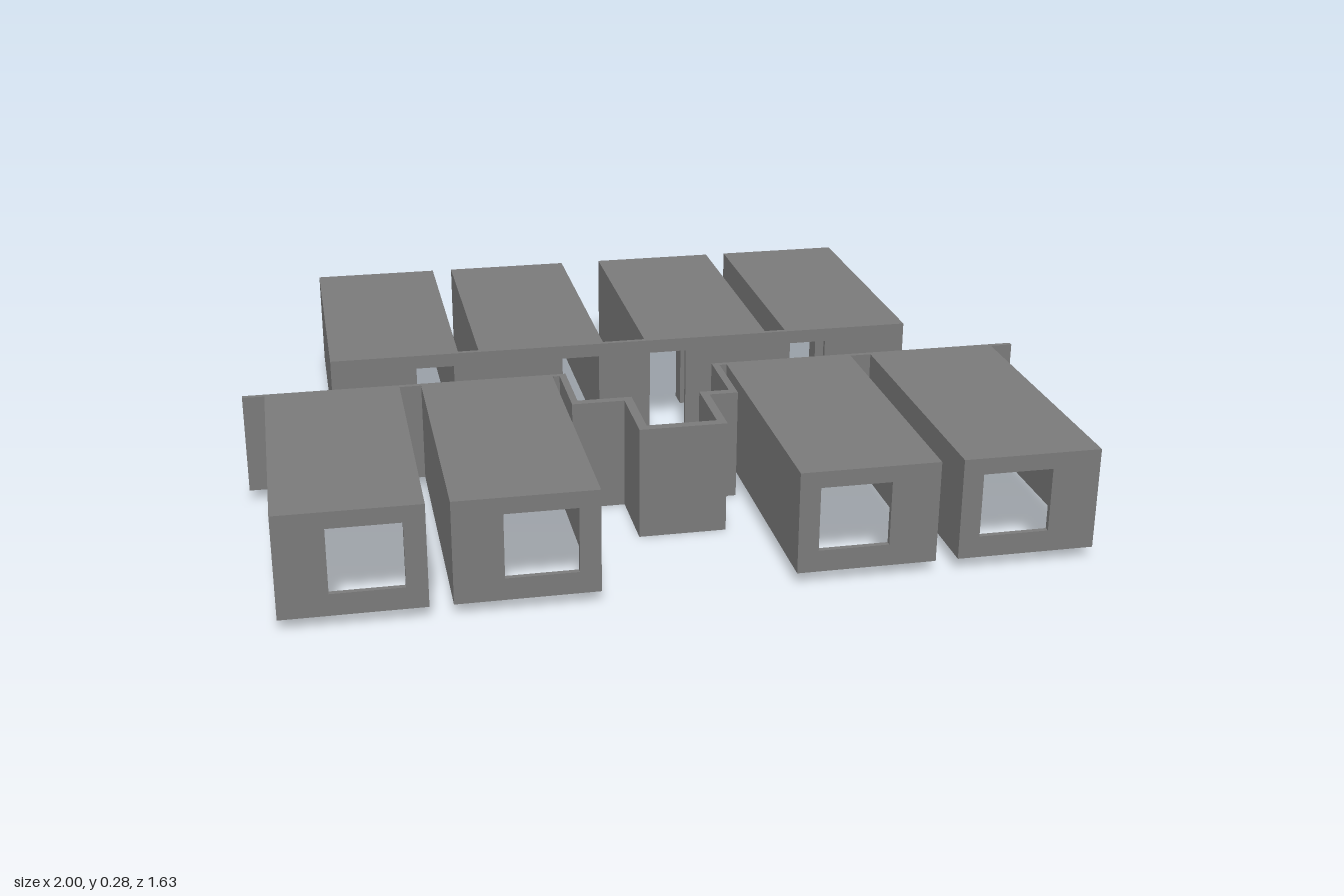
import * as THREE from 'three';

const MAT = new THREE.MeshStandardMaterial({ color: 0x7a7a7a });
const FLOOR = 0.03, TOP = 0.28, T = 0.013;   // wall base, roof height, wall thickness
const INNER = 0.1, OUTER = 0.813;            // corridor side and window end of a room
const HALF = 0.166;                          // half the width of a room

function add(group, name, geometry) {
  const mesh = new THREE.Mesh(geometry, MAT);
  mesh.name = name;
  group.add(mesh);
}

function shapeOf(points) {
  return new THREE.Shape(points.map(([x, y]) => new THREE.Vector2(x, y)));
}

function extrude(shape, depth) {
  return new THREE.ExtrudeGeometry(shape, { depth, bevelEnabled: false });
}

// Upright wall along x, centred on z = 0, with door notches listed from low x to high x
function doorWall(x0, x1, top, doors) {
  const points = [[x0, FLOOR]];
  for (const [a, b] of doors) {
    points.push([a, FLOOR], [a, 0.245], [b, 0.245], [b, FLOOR]);
  }
  points.push([x1, FLOOR], [x1, top], [x0, top]);
  return extrude(shapeOf(points), T).translate(0, 0, -T / 2);
}

const span = (a, b) => [Math.min(a, b), Math.max(a, b)];

// The entry door lies on the side given by s, next to the side wall
const doorSpan = ([cx, s]) => span(cx + s * 0.055, cx + s * (HALF - T));

// One room, open below: cx is its centre, s its door side, r its row (+1 front, -1 back)
function room(cx, s, r) {
  const g = new THREE.Group();
  g.name = 'room';

  // Roof and side walls in one portal profile
  const w = HALF - T, z0 = INNER + T;
  const portal = shapeOf([
    [-HALF, FLOOR], [-w, FLOOR], [-w, TOP - T], [w, TOP - T],
    [w, FLOOR], [HALF, FLOOR], [HALF, TOP], [-HALF, TOP],
  ]);
  add(g, 'roofAndSideWalls', extrude(portal, OUTER - z0)
    .translate(cx, 0, r > 0 ? z0 : -OUTER));

  // End wall with its window set away from the door side
  const end = shapeOf([[-w, FLOOR], [w, FLOOR], [w, TOP - T], [-w, TOP - T]]);
  const wx = -s * 0.033, hw = 0.084;
  end.holes.push(new THREE.Path([
    [wx - hw, 0.083], [wx - hw, 0.24], [wx + hw, 0.24], [wx + hw, 0.083],
  ].map(([x, y]) => new THREE.Vector2(x, y))));
  add(g, 'windowWall', extrude(end, T).translate(cx, 0, r > 0 ? OUTER - T : -OUTER));

  // Small chamber beside the entry: partition with a doorway, and a closing wall
  const px = cx + s * (0.035 - T / 2), depth = 0.31;
  add(g, 'entryPartition',
    doorWall(...span(r * z0, r * depth), TOP - T, [span(r * 0.165, r * 0.255)])
      .rotateY(-Math.PI / 2).translate(px, 0, 0));
  add(g, 'chamberWall',
    doorWall(...span(px - s * T / 2, cx - s * w), TOP - T, [])
      .translate(0, 0, r * (depth - T / 2)));
  return g;
}

export function createModel() {
  const model = new THREE.Group();
  model.name = 'roomComplex';

  // [centre x, door side] of every room
  const front = [[-0.78, -1], [-0.394, -1], [0.391, 1], [0.777, 1]];
  const back = [[-0.61, 1], [-0.224, 1], [0.22, -1], [0.607, -1]];
  for (const [cx, s] of front) model.add(room(cx, s, 1));
  for (const [cx, s] of back) model.add(room(cx, s, -1));

  // Corridor walls
  const z = INNER + T / 2;
  add(model, 'frontCorridorWallRight',
    doorWall(-1, -0.225, TOP, front.slice(0, 2).map(doorSpan)).translate(0, 0, z));
  add(model, 'frontCorridorWallLeft',
    doorWall(0.222, 1, TOP, front.slice(2).map(doorSpan)).translate(0, 0, z));
  add(model, 'backCorridorWall',
    doorWall(-0.776, 0.773, TOP, back.map(doorSpan)).translate(0, 0, -z));

  // Stepped bay in the middle, drawn in plan (x, z) and raised
  const bay = shapeOf([
    [-0.225, 0.1], [-0.193, 0.1], [-0.193, 0.287], [-0.058, 0.287],
    [-0.058, 0.474], [0.113, 0.474], [0.113, 0.287], [0.188, 0.287],
    [0.188, 0.1], [0.222, 0.1], [0.222, 0.114], [0.206, 0.114],
    [0.206, 0.309], [0.134, 0.309], [0.134, 0.498], [-0.08, 0.498],
    [-0.08, 0.309], [-0.21, 0.309], [-0.21, 0.114], [-0.225, 0.114],
  ]);
  add(model, 'steppedBay', extrude(bay, TOP).rotateX(Math.PI / 2).translate(0, TOP, 0));

  return model;
}
